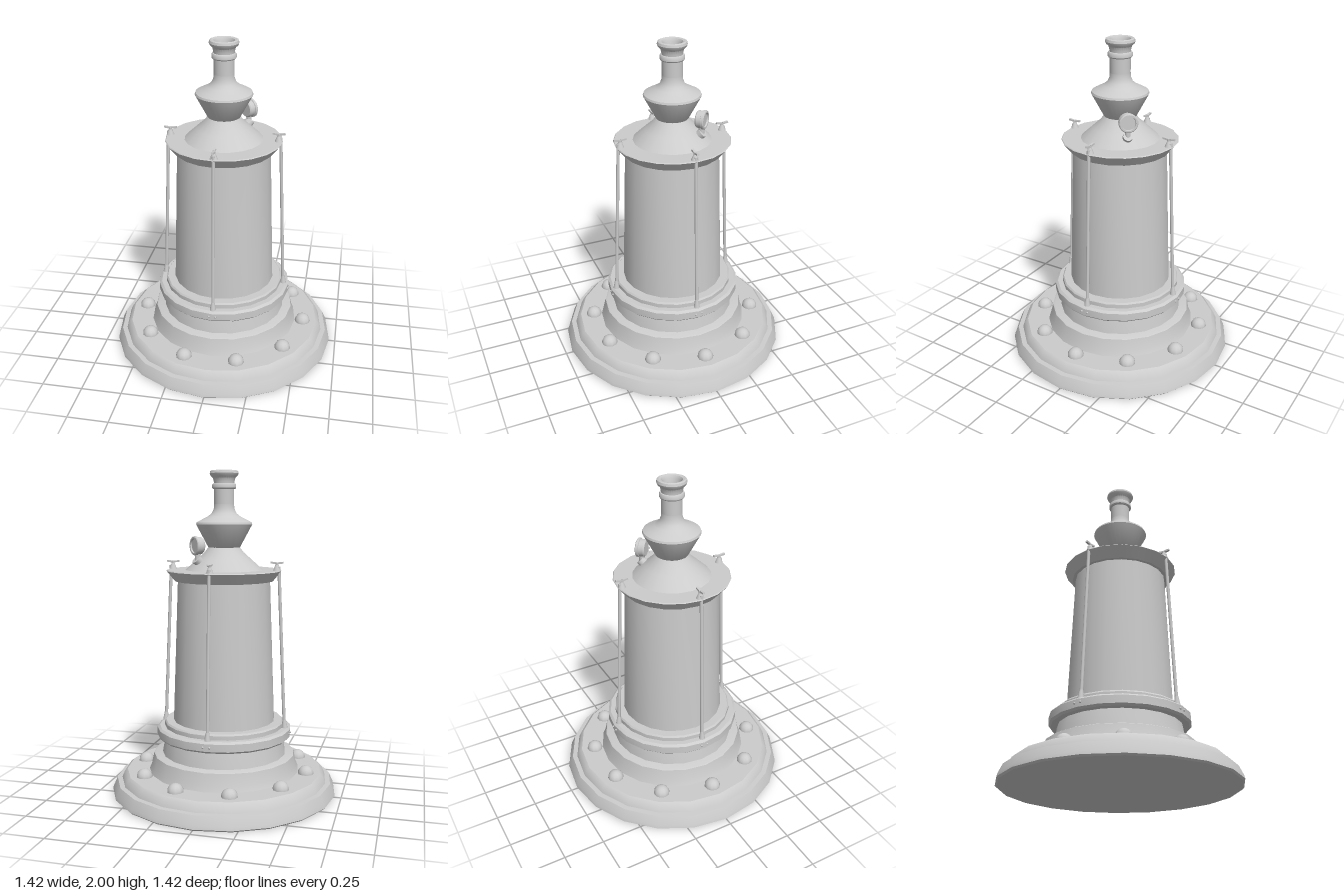
import * as THREE from 'three';
import { toCreasedNormals } from 'three/addons/utils/BufferGeometryUtils.js';

const grey = new THREE.MeshStandardMaterial({ color: 0xcccccc });

function add(parent, name, geometry, x = 0, y = 0, z = 0) {
  const mesh = new THREE.Mesh(geometry, grey);
  mesh.name = name;
  mesh.position.set(x, y, z);
  parent.add(mesh);
  return mesh;
}

// Turned part from a bottom-to-top [radius, height] profile
function turned(parent, name, profile, sides = 20) {
  const points = profile.map(([r, y]) => new THREE.Vector2(r, y));
  return add(parent, name, toCreasedNormals(new THREE.LatheGeometry(points, sides), 0.6));
}

// Round bar between two points
function bar(parent, name, from, to, rTop, rBottom) {
  const a = new THREE.Vector3(...from), b = new THREE.Vector3(...to);
  const dir = b.clone().sub(a);
  const mesh = add(parent, name, new THREE.CylinderGeometry(rTop, rBottom, dir.length(), 10));
  mesh.position.copy(a).add(b).multiplyScalar(0.5);
  mesh.quaternion.setFromUnitVectors(new THREE.Vector3(0, 1, 0), dir.normalize());
  return mesh;
}

export function createModel() {
  const model = new THREE.Group();
  model.name = 'lantern';

  // Stepped base
  turned(model, 'baseFlange', [
    [0, 0], [0.7, 0], [0.71, 0.01], [0.705, 0.03], [0.68, 0.083], [0.65, 0.085],
    [0.633, 0.125], [0.615, 0.14], [0, 0.14],
  ]);
  turned(model, 'baseStep', [[0.475, 0.14], [0.46, 0.175], [0.445, 0.245], [0.435, 0.25], [0, 0.25]]);
  turned(model, 'baseNeck', [[0.39, 0.25], [0.37, 0.36]]);
  turned(model, 'clampRing', [
    [0.36, 0.355], [0.41, 0.355], [0.422, 0.367], [0.422, 0.413], [0.407, 0.425], [0.36, 0.425],
  ]);
  turned(model, 'bodySeat', [[0.375, 0.425], [0.375, 0.45], [0.367, 0.46], [0.3, 0.46]]);

  // Dome bolts around the flange
  for (let i = 0; i < 10; i++) {
    const a = (i / 10) * Math.PI * 2;
    add(model, 'domeBolt', new THREE.SphereGeometry(0.05, 10, 5, 0, Math.PI * 2, 0, Math.PI / 2),
      0.527 * Math.cos(a), 0.14, 0.527 * Math.sin(a));
  }

  // Tapered body and roof
  turned(model, 'body', [[0.318, 0.46], [0.285, 1.34]]);
  turned(model, 'roofPlate', [[0, 1.335], [0.305, 1.335], [0.355, 1.397], [0.35, 1.402], [0, 1.402]]);
  turned(model, 'roofCone', [[0.24, 1.4], [0.165, 1.468], [0.12, 1.508], [0.096, 1.54]]);

  // Funnel and hollow chimney
  turned(model, 'funnel', [
    [0.09, 1.535], [0.098, 1.54], [0.165, 1.665], [0.172, 1.678], [0.168, 1.69], [0.14, 1.705],
    [0.1, 1.725], [0.075, 1.745], [0.062, 1.775], [0.061, 1.8],
  ], 32);
  turned(model, 'chimney', [
    [0.061, 1.79], [0.061, 1.89], [0.062, 1.93], [0.068, 1.955], [0.082, 1.968], [0.088, 1.982],
    [0.084, 1.996], [0.075, 2], [0.062, 1.996], [0.052, 1.98], [0.05, 1.88], [0, 1.88],
  ], 32);
  turned(model, 'chimneyBand', [
    [0.06, 1.888], [0.068, 1.89], [0.073, 1.897], [0.073, 1.914], [0.068, 1.922], [0.06, 1.924],
  ], 32);

  // Four tie rods with wing nuts, rivets and feet
  for (let i = 0; i < 4; i++) {
    const tie = new THREE.Group();
    tie.name = 'tieRod';
    tie.rotation.y = (i * Math.PI) / 2;
    model.add(tie);
    bar(tie, 'rod', [0.388, 0.42, 0], [0.342, 1.425, 0], 0.01, 0.01);
    bar(tie, 'rodFoot', [0.389, 0.42, 0], [0.387, 0.475, 0], 0.011, 0.02);
    add(tie, 'nutCone', new THREE.CylinderGeometry(0.009, 0.024, 0.038, 12), 0.33, 1.42, 0);
    add(tie, 'nutStem', new THREE.CylinderGeometry(0.01, 0.01, 0.03, 10), 0.33, 1.435, 0);
    for (const s of [-1, 1]) {
      const wing = add(tie, 'wing', new THREE.BoxGeometry(0.036, 0.011, 0.014), 0.33 + s * 0.021, 1.448, 0);
      wing.rotation.z = s * 0.12;
      add(tie, 'rivet', new THREE.SphereGeometry(0.007, 8, 6), 0.421, 0.392, s * 0.02);
    }
  }

  // Gauge on the back left of the roof, facing outward
  const gauge = new THREE.Group();
  gauge.name = 'gauge';
  gauge.rotation.y = Math.PI / 4;
  model.add(gauge);
  bar(gauge, 'gaugeFoot', [0.16, 1.44, 0], [0.195, 1.472, 0], 0.03, 0.03);
  bar(gauge, 'gaugeStem', [0.185, 1.46, 0], [0.185, 1.52, 0], 0.017, 0.017);
  const caseShape = turned(gauge, 'gaugeCase', [
    [0, -0.025], [0.046, -0.025], [0.052, -0.018], [0.052, 0.01], [0.057, 0.012],
    [0.057, 0.026], [0.052, 0.03], [0.043, 0.03], [0.041, 0.02], [0, 0.02],
  ], 24);
  caseShape.position.set(0.182, 1.552, 0);
  caseShape.rotation.z = -Math.PI / 2;

  return model;
}
